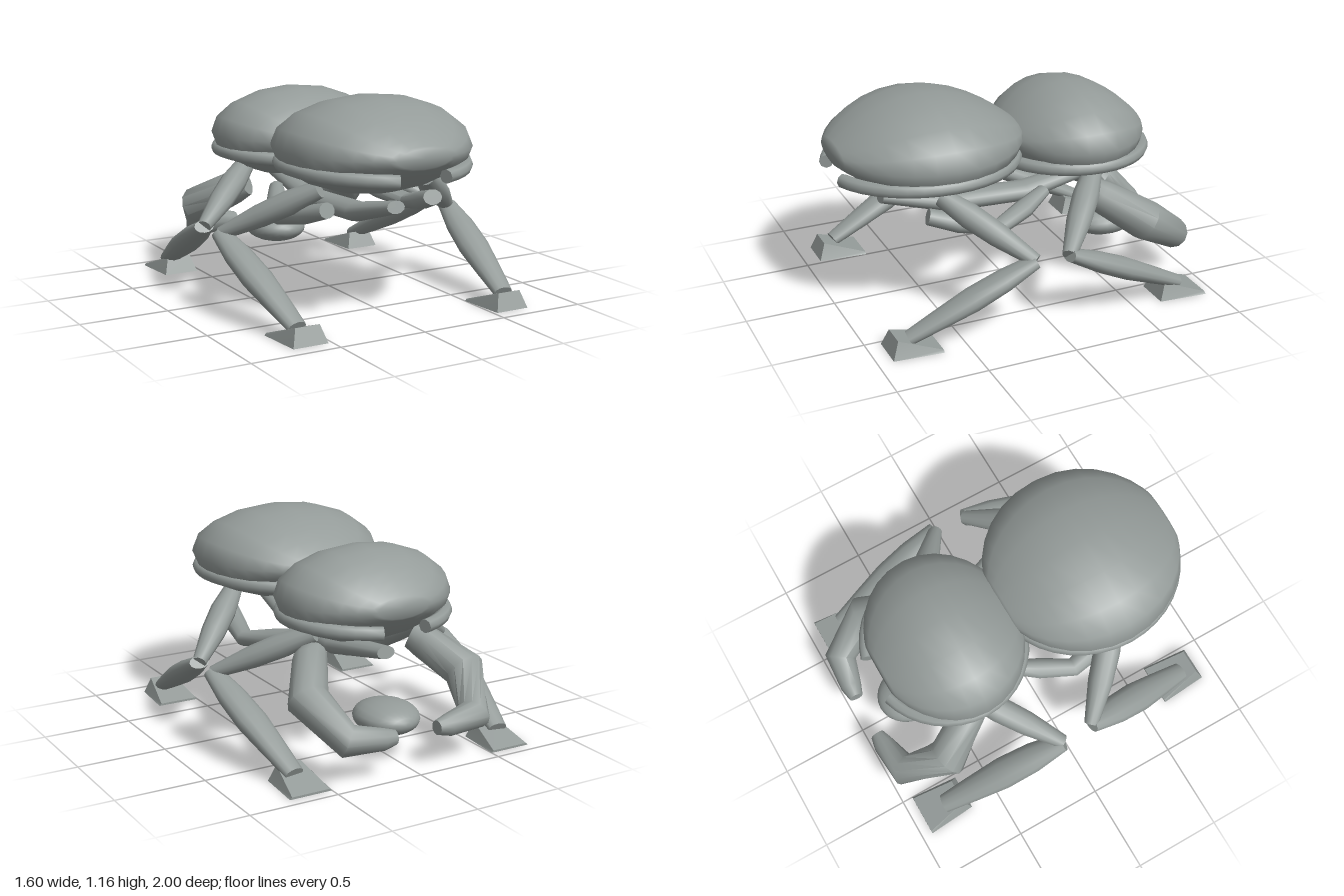
import * as THREE from 'three';
import { mergeVertices, toCreasedNormals } from 'three/addons/utils/BufferGeometryUtils.js';

const UP = new THREE.Vector3(0, 1, 0);

// Capped limb through points [x, y, z, radius]; flat squeezes it across its width
function limb(points, sides = 12, flat = 1) {
  const p = points.map(a => new THREE.Vector3(a[0], a[1], a[2]));
  const pos = [], idx = [], n = p.length;
  p.forEach((c, i) => {
    const t = new THREE.Vector3();
    if (i > 0) t.add(c.clone().sub(p[i - 1]).normalize());
    if (i < n - 1) t.add(p[i + 1].clone().sub(c).normalize());
    t.normalize();
    const s = new THREE.Vector3().crossVectors(UP, t).normalize();
    const b = new THREE.Vector3().crossVectors(t, s);
    for (let j = 0; j < sides; j++) {
      const a = j / sides * Math.PI * 2, r = points[i][3];
      const v = c.clone().addScaledVector(s, r * Math.cos(a)).addScaledVector(b, r * flat * Math.sin(a));
      pos.push(v.x, v.y, v.z);
    }
  });
  pos.push(...p[0].toArray(), ...p[n - 1].toArray());
  const first = n * sides, last = first + 1;
  for (let j = 0; j < sides; j++) {
    const k = (j + 1) % sides;
    for (let i = 0; i < n - 1; i++) {
      const o = i * sides, q = o + sides;
      idx.push(o + j, o + k, q + k, o + j, q + k, q + j);
    }
    const e = (n - 1) * sides;
    idx.push(first, k, j, last, e + j, e + k);
  }
  const g = new THREE.BufferGeometry();
  g.setAttribute('position', new THREE.Float32BufferAttribute(pos, 3));
  g.setIndex(idx);
  return toCreasedNormals(g, 0.95);
}

// Lens-shaped shell: round from above, thin towards both ends
function shell(halfX, halfY, halfZ) {
  let g = new THREE.CylinderGeometry(1, 1, 2, 16, 14);
  g.rotateX(Math.PI / 2);
  g.deleteAttribute('uv');
  g.deleteAttribute('normal');
  const a = g.attributes.position;
  for (let i = 0; i < a.count; i++) {
    const u = Math.sin(a.getZ(i) * Math.PI / 2);
    const w = Math.sqrt(1 - (0.95 * u) ** 2);
    const h = 0.2 + 0.8 * (1 - u * u);
    a.setXYZ(i, a.getX(i) * halfX * w, a.getY(i) * halfY * h, u * halfZ);
  }
  g = mergeVertices(g);
  return toCreasedNormals(g, 1.0);
}

// Wedge foot, tall at its +z end
function foot() {
  const g = new THREE.BoxGeometry(2, 2, 2);
  const a = g.attributes.position;
  for (let i = 0; i < a.count; i++) {
    const top = a.getY(i) > 0, front = a.getZ(i) > 0;
    const w = front ? (top ? 0.07 : 0.1) : (top ? 0.11 : 0.122);
    const y = top ? (front ? 0.095 : 0.012) : 0;
    const z = front ? (top ? 0.1 : 0.137) : -0.137;
    a.setXYZ(i, a.getX(i) * w, y, z);
  }
  g.computeVertexNormals();
  return g;
}

export function createModel() {
  const model = new THREE.Group();
  model.name = 'fourLeggedWalker';
  const grey = new THREE.MeshStandardMaterial({ color: 0x949b99 });
  grey.name = 'grey';
  const add = (name, geometry, x = 0, y = 0, z = 0) => {
    const m = new THREE.Mesh(geometry, grey);
    m.name = name;
    m.position.set(x, y, z);
    model.add(m);
    return m;
  };

  // Body shells
  add('frontShell', shell(0.535, 0.263, 0.523), 0, 0.902, 0.455);
  add('backShell', shell(0.495, 0.26, 0.4), 0, 0.85, -0.41);

  // Hanging ball and central keel
  const ball = new THREE.SphereGeometry(1, 20, 14);
  ball.rotateX(Math.PI / 2);
  ball.scale(0.175, 0.09, 0.2);
  add('ball', ball, 0, 0.22, -0.66);
  add('keel', limb([[0, 0.6, 0.71, 0.055], [0, 0.5, 0.32, 0.085],
    [0, 0.48, -0.15, 0.085], [0, 0.57, -0.65, 0.055]], 12, 0.65));

  for (const side of [1, -1]) {
    const label = side > 0 ? 'left' : 'right';
    const mirror = pts => pts.map(([x, y, z, r]) => [x * side, y, z, r]);

    // Rim bars, open at the front and back
    const rim = (rx, rz, cz, y, rise) => {
      const pts = [];
      for (let i = 0; i <= 16; i++) {
        const a = 0.29 + (Math.PI - 0.58) * i / 16;
        pts.push([rx * Math.sin(a), y + rise * Math.sin(a), cz + rz * Math.cos(a), 0.038]);
      }
      return limb(mirror(pts), 8);
    };
    add(label + 'FrontRim', rim(0.49, 0.52, 0.465, 0.79, 0.018));
    add(label + 'BackRim', rim(0.45, 0.425, -0.415, 0.735, 0.02));

    // Bent side struts
    add(label + 'Strut', limb(mirror([[0.33, 0.59, 0.56, 0.055], [0.37, 0.54, 0.4, 0.065],
      [0.41, 0.49, 0.18, 0.055], [0.33, 0.53, 0.0, 0.06], [0.25, 0.58, -0.16, 0.04]]), 10, 0.8));

    // Hooked pincers around the ball
    add(label + 'Pincer', limb(mirror([[0.31, 0.56, -0.42, 0.075], [0.36, 0.53, -0.47, 0.095],
      [0.49, 0.4, -0.68, 0.115], [0.39, 0.235, -0.915, 0.09],
      [0.2, 0.22, -0.945, 0.06], [0.13, 0.22, -0.95, 0.04]]), 12));

    // Legs and feet
    const leg = (name, hip, knee, ankle, footZ) => {
      const at = (a, b, t, r) => [0, 1, 2].map(k => a[k] + (b[k] - a[k]) * t).concat(r);
      add(label + name + 'UpperLeg', limb(mirror([at(hip, knee, 0, 0.055), at(hip, knee, 0.3, 0.075),
        at(hip, knee, 0.6, 0.07), at(hip, knee, 1, 0.04)]), 12, 0.9));
      add(label + name + 'LowerLeg', limb(mirror([at(knee, ankle, 0, 0.055), at(knee, ankle, 0.25, 0.085),
        at(knee, ankle, 0.5, 0.092), at(knee, ankle, 0.75, 0.075), at(knee, ankle, 1, 0.055)]), 12, 0.65));
      add(label + name + 'Foot', foot(), 0.622 * side, 0, footZ);
    };
    leg('Front', [0.33, 0.69, 0.48], [0.73, 0.42, 0.11], [0.64, 0.07, 0.8], 0.777);
    leg('Back', [0.31, 0.67, -0.43], [0.74, 0.42, -0.08], [0.64, 0.07, -0.8], -0.803);
  }
  return model;
}
